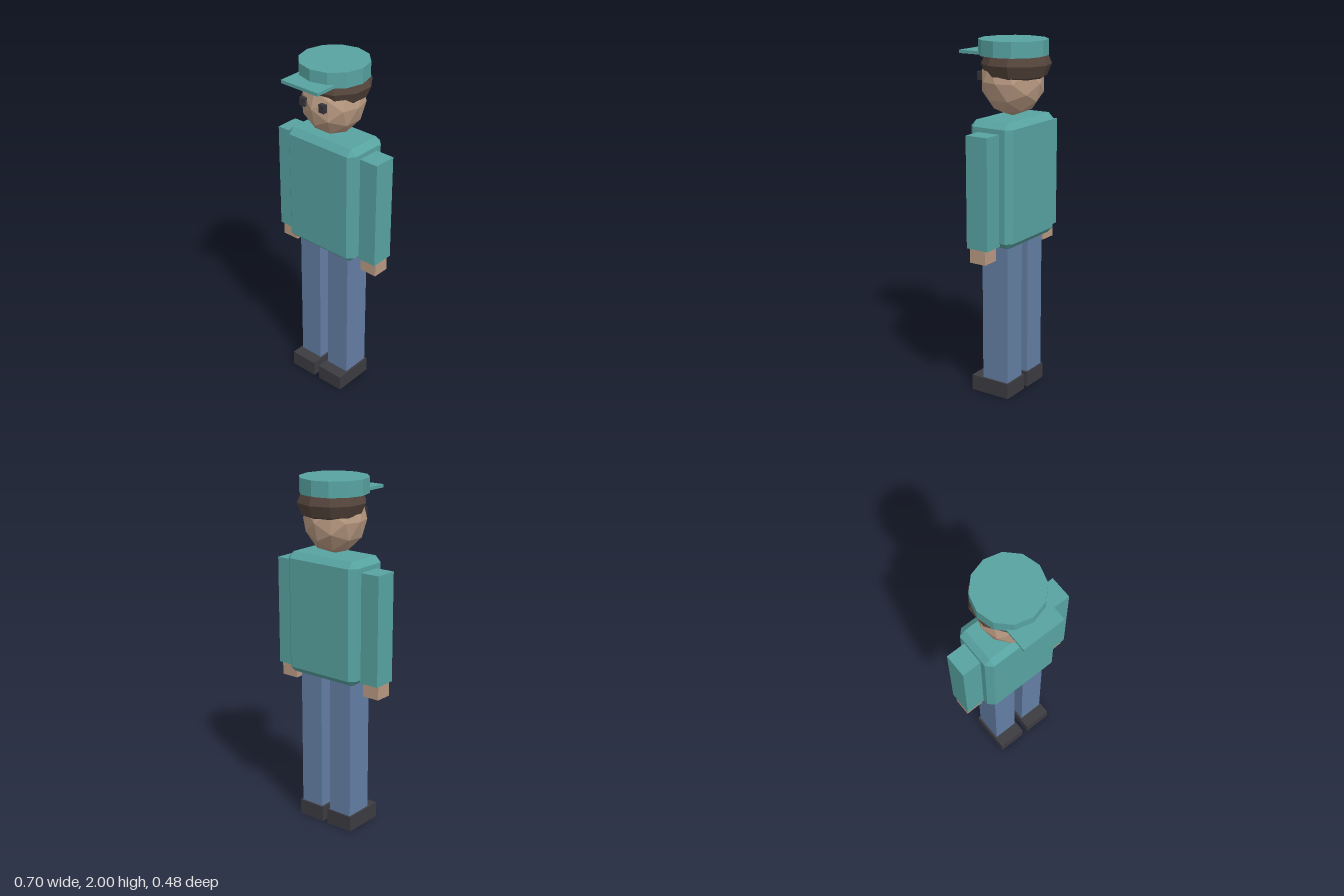
import * as THREE from 'three';
import { ConvexGeometry } from 'three/addons/geometries/ConvexGeometry.js';

// Box with single-facet chamfers on every edge and triangular corners
function chamferBox(w, h, d, c) {
  const points = [];
  for (const x of [-w / 2, w / 2]) for (const y of [-h / 2, h / 2]) for (const z of [-d / 2, d / 2]) {
    const ix = x - Math.sign(x) * c, iy = y - Math.sign(y) * c, iz = z - Math.sign(z) * c;
    points.push(new THREE.Vector3(x, iy, iz), new THREE.Vector3(ix, y, iz), new THREE.Vector3(ix, iy, z));
  }
  return new ConvexGeometry(points);
}

export function createModel() {
  const group = new THREE.Group();
  const material = (name, color) => {
    const m = new THREE.MeshStandardMaterial({ color, flatShading: true });
    m.name = name;
    return m;
  };
  const teal = material('teal cloth', 0x57a3a1);
  const denim = material('denim', 0x647ea4);
  const skin = material('skin', 0xb99a82);
  const brown = material('hair brown', 0x54443b);
  const dark = material('shoe charcoal', 0x3c3b41);
  const black = material('eye charcoal', 0x37343a);

  const add = (name, geometry, mat, x, y, z) => {
    const mesh = new THREE.Mesh(geometry, mat);
    mesh.name = name;
    mesh.position.set(x, y, z);
    group.add(mesh);
    return mesh;
  };
  // Box given by its minimum and maximum corners
  const box = (name, mat, x0, x1, y0, y1, z0, z1) =>
    add(name, new THREE.BoxGeometry(x1 - x0, y1 - y0, z1 - z0), mat, (x0 + x1) / 2, (y0 + y1) / 2, (z0 + z1) / 2);

  // Body
  add('torso', chamferBox(0.472, 0.69, 0.27, 0.034), teal, 0, 1.24, -0.03);

  // Paired limbs and eyes
  for (const [side, s] of [['left', 1], ['right', -1]]) {
    const pair = (part, mat, a, b, ...rest) =>
      box(side + part, mat, Math.min(s * a, s * b), Math.max(s * a, s * b), ...rest);
    pair('Arm', teal, 0.23, 0.348, 0.91, 1.525, -0.097, 0.037);
    pair('Hand', skin, 0.238, 0.342, 0.83, 0.93, -0.078, 0.02);
    pair('Leg', denim, 0.03, 0.174, 0.01, 0.91, -0.108, 0.058);
    pair('Shoe', dark, 0.018, 0.185, 0, 0.09, -0.117, 0.128);
    pair('Eye', black, 0.048, 0.084, 1.776, 1.821, 0.125, 0.15);
  }

  // Faceted head
  const head = add('head', new THREE.IcosahedronGeometry(1, 1), skin, -0.002, 1.775, -0.026);
  head.scale.set(0.171, 0.189, 0.176);

  // Flattened ten-sided hair cap
  const hair = add('hair', new THREE.SphereGeometry(1, 10, 6).rotateY(Math.PI / 2), brown, 0, 1.87, -0.05);
  hair.scale.set(0.19, 0.123, 0.19);

  // Flat-topped cap with a square brim
  add('capCrown', new THREE.CylinderGeometry(0.19, 0.19, 0.085, 12), teal, 0, 1.9575, -0.03);
  box('capBrim', teal, -0.124, 0.124, 1.917, 1.935, 0.04, 0.24);

  return group;
}
